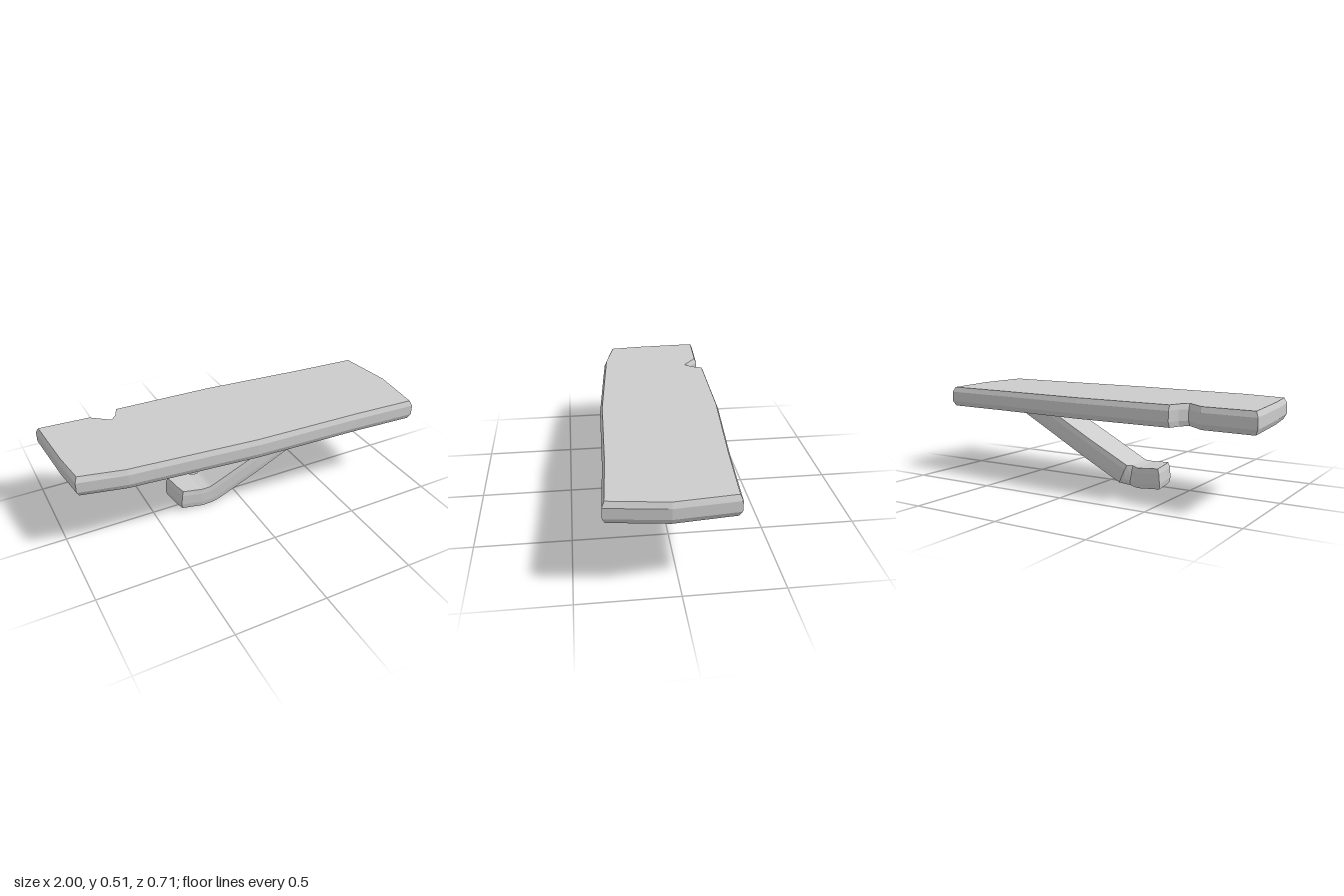
import * as THREE from 'three';

// Plan outline, left to right: [back x, back z, middle x, middle z, front x, front z]
const PLAN = [
  [-1, -0.358, -0.975, 0, -0.95, 0.2],
  [-0.71, -0.34, -0.71, 0, -0.7, 0.255],
  [-0.61, -0.26, -0.61, 0, -0.61, 0.262],
  [-0.575, -0.3, -0.575, 0, -0.575, 0.265],
  [-0.55, -0.36, -0.55, 0, -0.55, 0.268],
  [0, -0.345, 0, 0, 0, 0.315],
  [0.58, -0.295, 0.58, 0, 0.6, 0.333],
  [0.965, -0.27, 1, 0.05, 0.965, 0.353],
];

// Chamfered board layers, bottom to top: [height, inset]
const LAYERS = [[-0.056, 0.013], [-0.028, 0], [0.028, 0], [0.056, 0.013]];

// Lofts the board along frames [x, y, angle in degrees], one per plan station
function board(name, frames, xScale, zScale, tilt) {
  const last = PLAN.length - 1;
  const point = (layer, i, c) => {
    const [h, inset] = LAYERS[layer];
    const row = PLAN[i];
    const end = i === 0 ? 1 : i === last ? -1 : 0;
    const side = 1 - c; // +1 back, 0 middle, -1 front
    const along = (row[c * 2] - row[2] + end * inset) * xScale;
    const z = (row[c * 2 + 1] + side * inset) * zScale;
    const [x, y, deg] = frames[i];
    const a = THREE.MathUtils.degToRad(deg);
    return [
      x + along * Math.cos(a) - h * Math.sin(a),
      y + along * Math.sin(a) + h * Math.cos(a) + z * tilt,
      z,
    ];
  };

  const pos = [];
  const quad = (a, b, c, d) => pos.push(...a, ...b, ...c, ...a, ...c, ...d);

  // Top and bottom faces
  for (let i = 0; i < last; i++) {
    for (let c = 0; c < 2; c++) {
      const corners = [[i, c], [i, c + 1], [i + 1, c + 1], [i + 1, c]];
      quad(...corners.map(([s, k]) => point(3, s, k)));
      quad(...corners.reverse().map(([s, k]) => point(0, s, k)));
    }
  }

  // Chamfered rim all the way round
  const rim = [];
  for (let i = 0; i <= last; i++) rim.push([i, 0]);
  rim.push([last, 1]);
  for (let i = last; i >= 0; i--) rim.push([i, 2]);
  rim.push([0, 1]);
  rim.forEach((p, k) => {
    const q = rim[(k + 1) % rim.length];
    for (let l = 0; l < 3; l++) {
      quad(point(l, ...p), point(l + 1, ...p), point(l + 1, ...q), point(l, ...q));
    }
  });

  const geometry = new THREE.BufferGeometry();
  geometry.setAttribute('position', new THREE.Float32BufferAttribute(pos, 3));
  geometry.computeVertexNormals();
  const mesh = new THREE.Mesh(
    geometry,
    new THREE.MeshStandardMaterial({ color: 0xcccccc, flatShading: true })
  );
  mesh.name = name;
  return mesh;
}

export function createModel() {
  const group = new THREE.Group();
  group.name = 'plankWithBrace';

  // Flat plank on top
  const flat = PLAN.map((row) => [row[2], 0.455, 0]);
  group.add(board('plank', flat, 1, 1, 0.014));

  // Narrow copy bent into a slanted brace with a level foot
  const bent = [
    [-0.36, 0.073, -5],
    [-0.235, 0.062, 0],
    [-0.18, 0.065, 10],
    [-0.163, 0.069, 18],
    [-0.145, 0.076, 25],
    [0.104, 0.199, 26.4],
    [0.367, 0.33, 26.4],
    [0.558, 0.425, 26.4],
  ];
  group.add(board('brace', bent, 0.5, 0.315, 0.04));

  return group;
}
